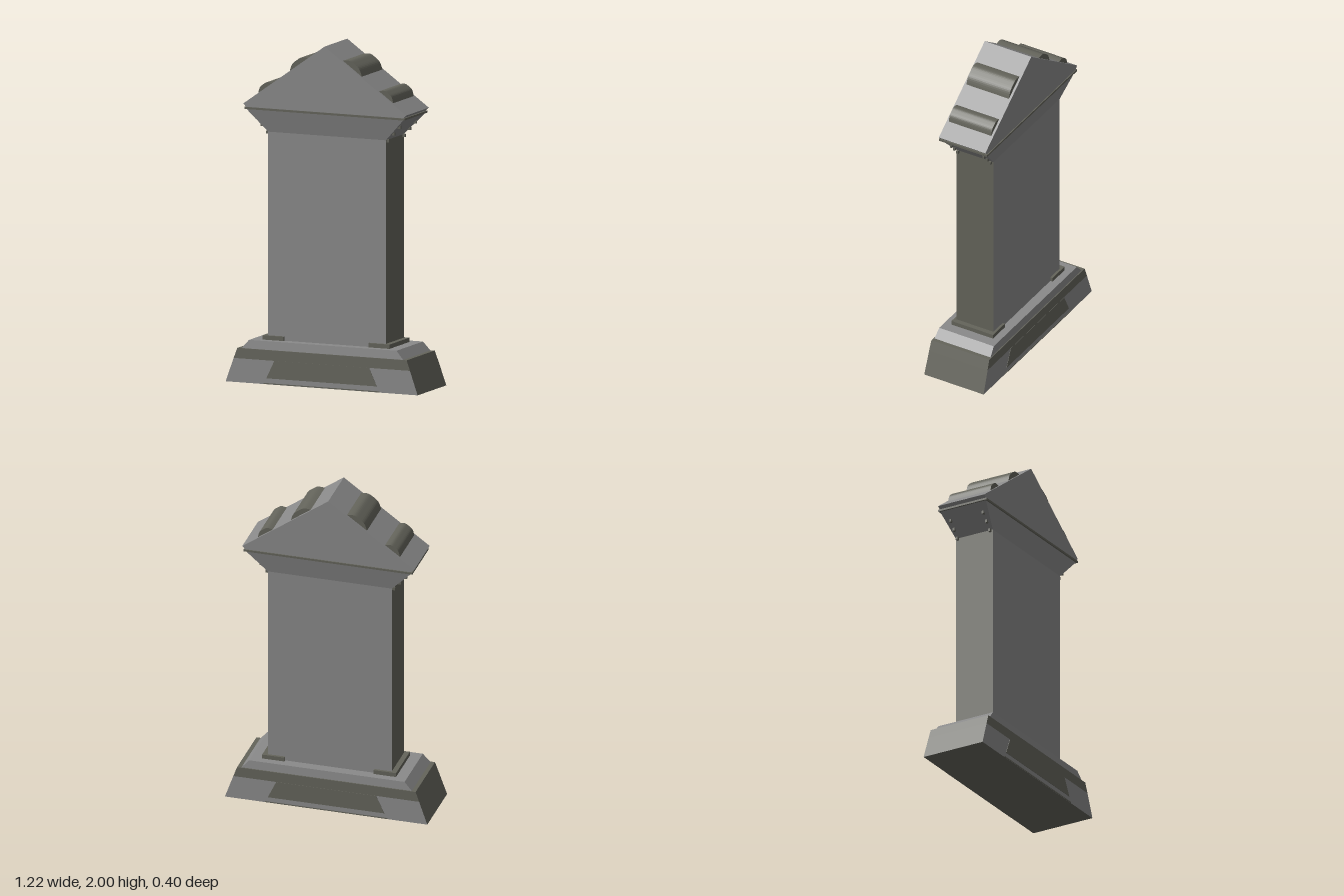
import * as THREE from 'three';

export function createModel() {
  const model = new THREE.Group();
  model.name = 'pillarMonument';
  const light = new THREE.MeshStandardMaterial({ color: 0x8a8a8a });
  light.name = 'lightStone';
  const dark = new THREE.MeshStandardMaterial({ color: 0x64645b });
  dark.name = 'darkStone';

  const add = (name, geometry, material) => {
    const mesh = new THREE.Mesh(geometry, material);
    mesh.name = name;
    model.add(mesh);
    return mesh;
  };

  // Box between y0 and y1 whose half sizes change from bottom to top
  const taper = (y0, y1, [bx, bz], [tx, tz]) => {
    const g = new THREE.BoxGeometry(2, 1, 2);
    const p = g.attributes.position;
    for (let i = 0; i < p.count; i++) {
      const top = p.getY(i) > 0;
      p.setXYZ(i, p.getX(i) * (top ? tx : bx), top ? y1 : y0, p.getZ(i) * (top ? tz : bz));
    }
    g.computeVertexNormals();
    return g;
  };

  // Profile in x and y, extruded evenly to both sides of z = 0
  const slab = (shape, halfDepth) =>
    new THREE.ExtrudeGeometry(shape, { depth: 2 * halfDepth, bevelEnabled: false, curveSegments: 8 })
      .translate(0, 0, -halfDepth);

  // Materials in box order: +x, -x, +y, -y, +z, -z
  const darkEnds = [dark, dark, light, dark, light, light];

  // Plinth with dark ends, dark upper band and a light step
  add('plinth', taper(0, 0.14, [0.612, 0.2], [0.562, 0.197]), darkEnds);
  add('plinthBand', taper(0.14, 0.2, [0.562, 0.197], [0.54, 0.195]), dark);
  add('plinthStep', taper(0.2, 0.25, [0.515, 0.189], [0.47, 0.184]), light);
  add('plinthPanel', taper(0.035, 0.14, [0.352, 0.2015], [0.302, 0.199]), dark);
  add('plinthSill', taper(0.001, 0.007, [0.37, 0.202], [0.37, 0.202]), dark);

  // Column
  add('column', taper(0.25, 1.47, [0.375, 0.125], [0.375, 0.125]), darkEnds);

  // Flared capital and cornice
  add('capital', taper(1.47, 1.6, [0.375, 0.125], [0.5, 0.155]), light);
  add('cornice', taper(1.6, 1.612, [0.51, 0.163], [0.51, 0.163]), dark);

  // Gabled roof with chamfered eaves
  const gable = new THREE.Shape([
    [-0.5, 1.612], [0.5, 1.612], [0.52, 1.63], [0, 2], [-0.52, 1.63],
  ].map(([x, y]) => new THREE.Vector2(x, y)));
  add('roof', slab(gable, 0.157), light);

  for (const s of [1, -1]) {
    const side = s > 0 ? 'left' : 'right';

    // Pads clasping the foot of the column
    add(side + 'FootPad', taper(0.25, 0.275, [0.0675, 0.14], [0.0675, 0.14]), dark)
      .position.x = s * 0.3375;

    // Rounded ribs lying across the roof slope
    for (const [x0, x1, height] of [[0.11, 0.23, 0.03], [0.34, 0.43, 0.027]]) {
      const slopeY = (x) => 2 - 0.7115 * x;
      const nx = 0.58 * height, ny = 0.815 * height;
      const at = (t) => [s * (x0 + (x1 - x0) * t + nx), slopeY(x0 + (x1 - x0) * t) + ny];
      const rib = new THREE.Shape();
      rib.moveTo(s * x0, slopeY(x0));
      rib.bezierCurveTo(...at(0.2), ...at(0.25), ...at(0.45));
      rib.bezierCurveTo(...at(0.7), ...at(0.75), s * x1, slopeY(x1));
      rib.closePath();
      add(side + 'RoofRib', slab(rib, 0.143), dark);
    }

    // Small studs under the flare
    for (const [x, y] of [[0.383, 1.465], [0.418, 1.508], [0.455, 1.55]]) {
      for (const z of [-0.11, 0.11]) {
        add(side + 'Stud', new THREE.BoxGeometry(0.018, 0.018, 0.012), dark)
          .position.set(s * x, y, z);
      }
    }
  }
  return model;
}
